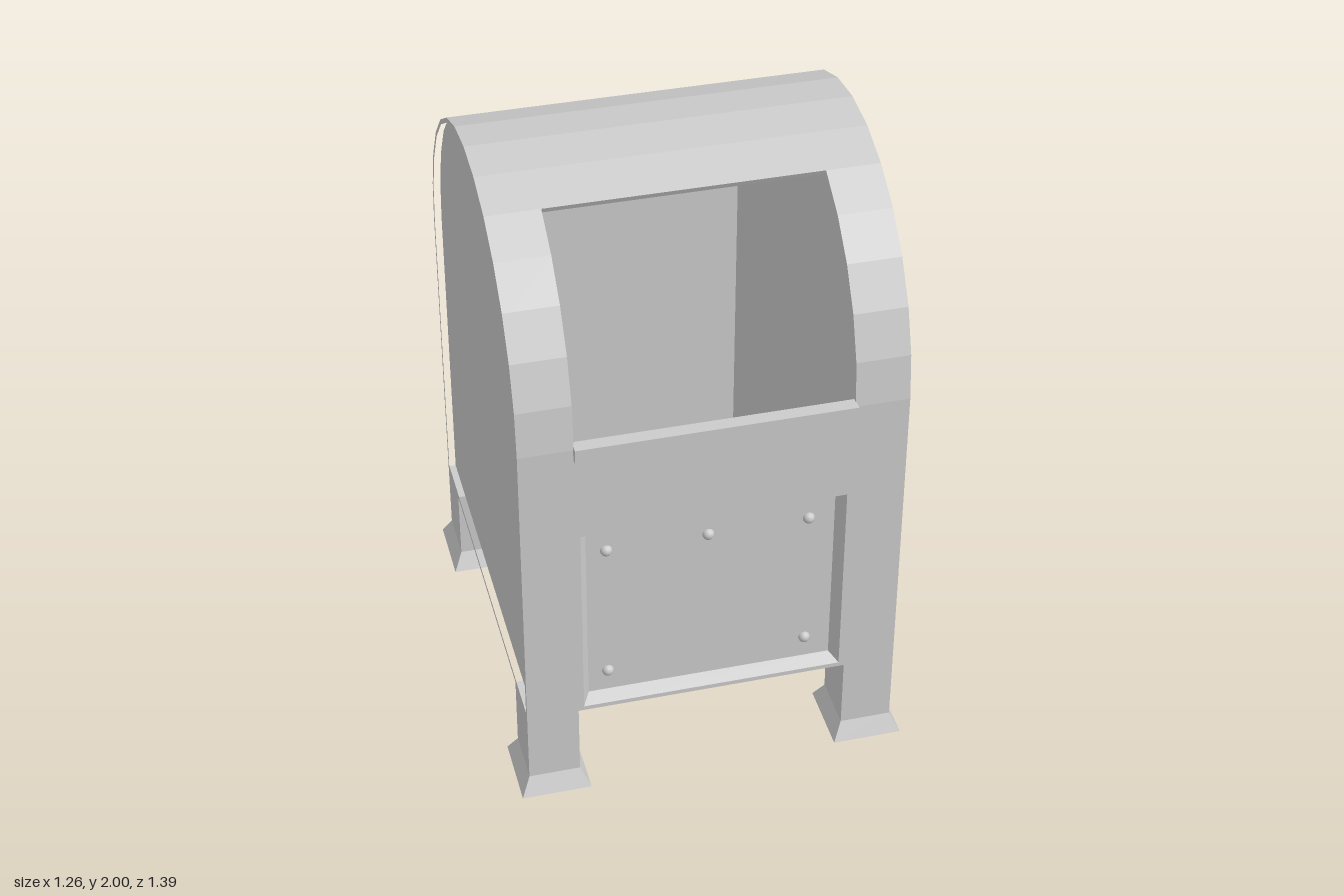
import * as THREE from 'three';

const R = 0.665, CY = 1.335, BOTTOM = 0.305, STEPS = 14;
const mat = new THREE.MeshStandardMaterial({ color: 0xcccccc, flatShading: true });
const smooth = new THREE.MeshStandardMaterial({ color: 0xcccccc });

// Side-on points are [z, y]; the shape is extruded along x from x0 to x1
const toVec = (pts) => pts.map(([z, y]) => new THREE.Vector2(-z, y));

function extrudeX(pts, x0, x1, hole) {
  const shape = new THREE.Shape(toVec(pts));
  if (hole) shape.holes.push(new THREE.Path(toVec(hole)));
  const g = new THREE.ExtrudeGeometry(shape, { depth: x1 - x0, bevelEnabled: false });
  return g.rotateY(Math.PI / 2).translate(x0, 0, 0);
}

// Arc points from step a to step b; step 0 is the front, the last is the back
function arc(r, a, b) {
  const out = [];
  const dir = Math.sign(b - a);
  for (let i = a; i !== b + dir; i += dir) {
    const t = (Math.PI * i) / STEPS;
    out.push([r * Math.cos(t), CY + r * Math.sin(t)]);
  }
  return out;
}

const arch = (r, bottom) => [[r, bottom], ...arc(r, 0, STEPS), [-r, bottom]];

export function createModel() {
  const model = new THREE.Group();
  const add = (name, geo, parent = model, material = mat) => {
    const m = new THREE.Mesh(geo, material);
    m.name = name;
    parent.add(m);
    return m;
  };

  // Side sections with a thin raised rim round a recessed panel
  const outer = arch(R, BOTTOM), inner = arch(R - 0.015, 0.32);
  add('leftSide', extrudeX(outer, 0.43, 0.575));
  add('rightSide', extrudeX(outer, -0.575, -0.43));
  add('leftRim', extrudeX(outer, 0.575, 0.6, inner));
  add('rightRim', extrudeX(outer, -0.6, -0.575, inner));

  // Hollow middle section: open at the front top, with a recessed door below
  const ri = R - 0.02, door = R - 0.04;
  add('middleShell', extrudeX([
    ...arc(R, 5, STEPS), [-R, BOTTOM], [R, BOTTOM],
    [R, 0.32], [door, 0.342], [door, 0.985], [R, 1.005], [R, 1.35],
    [ri, 1.35], [ri, 1.06], [0.59, 1.02], [0.59, 0.33], [-ri, 0.33],
    ...arc(ri, STEPS, 5),
  ], -0.43, 0.43));

  // Sloping sides of the door recess
  for (const s of [-1, 1]) {
    const wedge = new THREE.Shape([[0.43, -R], [0.417, -R], [0.393, -door], [0.43, -door]]
      .map(([x, y]) => new THREE.Vector2(s * x, y)));
    const g = new THREE.ExtrudeGeometry(wedge, { depth: 0.685, bevelEnabled: false });
    add('doorBevel', g.rotateX(-Math.PI / 2).translate(0, 0.32, 0));
  }

  // Door bolts
  const bolts = new THREE.Group();
  bolts.name = 'doorBolts';
  model.add(bolts);
  for (const [x, y] of [[-0.33, 0.905], [-0.01, 0.905], [0.31, 0.905], [-0.33, 0.42], [0.31, 0.42]]) {
    add('bolt', new THREE.SphereGeometry(0.019, 12, 8), bolts, smooth).position.set(x, y, door);
  }

  // Ledge under the opening
  add('ledge', new THREE.BoxGeometry(0.865, 0.05, 0.03)).position.set(0, 1.325, R + 0.01);

  // Four legs with flared feet
  const w = 0.165, d = 0.18, footH = 0.06;
  const footGeo = new THREE.BoxGeometry(w, footH, d);
  const p = footGeo.attributes.position;
  for (let i = 0; i < p.count; i++) {
    if (p.getY(i) < 0) p.setXYZ(i, p.getX(i) * 1.36, p.getY(i), p.getZ(i) * 1.36);
  }
  footGeo.computeVertexNormals();
  for (const sx of [-1, 1]) for (const sz of [-1, 1]) {
    const leg = new THREE.Group();
    leg.name = (sz > 0 ? 'front' : 'back') + (sx > 0 ? 'Left' : 'Right') + 'Leg';
    leg.position.set(sx * (0.6 - w / 2), 0, sz * (R - d / 2));
    add('post', new THREE.BoxGeometry(w, BOTTOM - footH, d), leg).position.y = (BOTTOM + footH) / 2;
    add('foot', footGeo, leg).position.y = footH / 2;
    model.add(leg);
  }
  return model;
}
